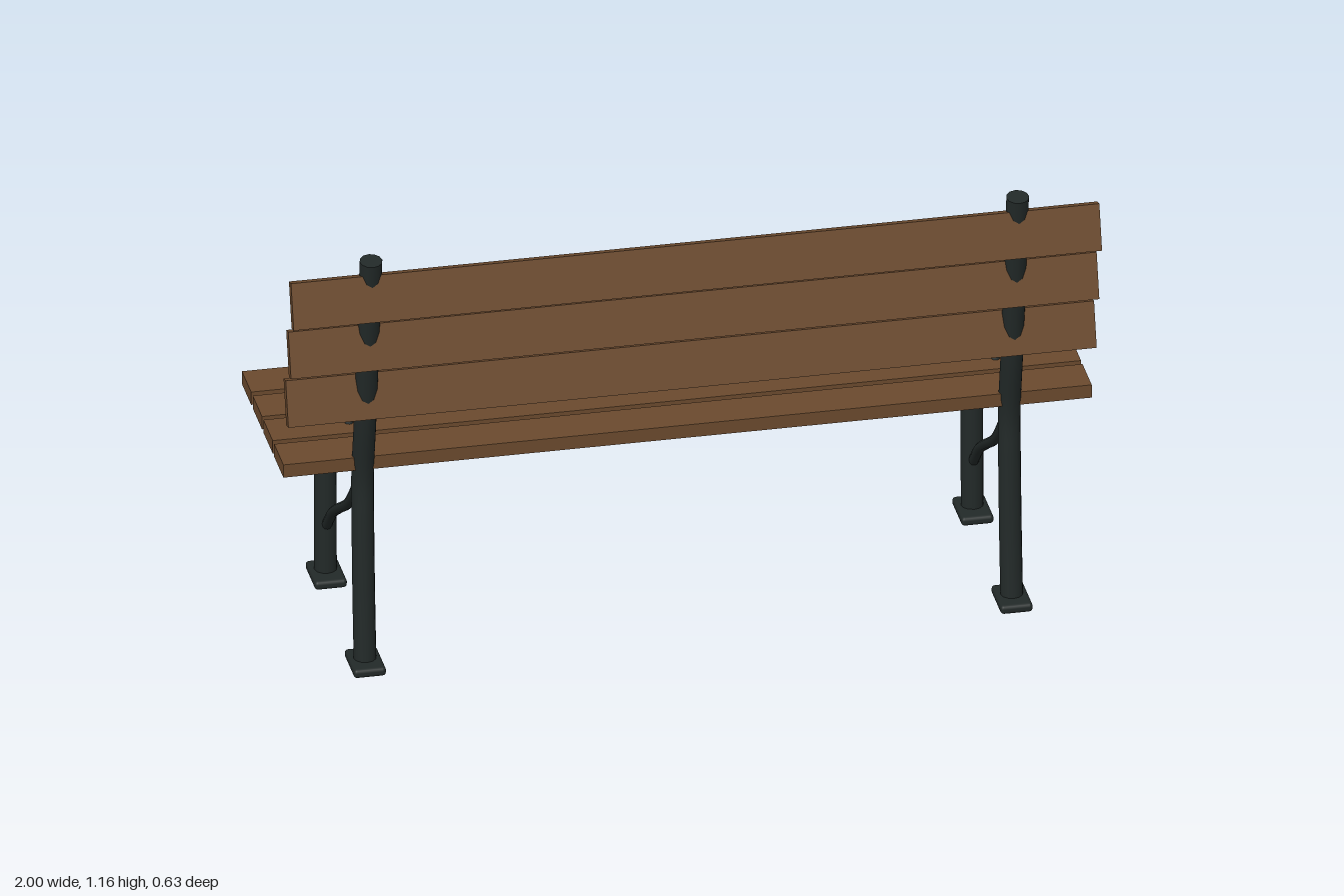
import * as THREE from 'three';
import { RoundedBoxGeometry } from 'three/addons/geometries/RoundedBoxGeometry.js';

export function createModel() {
  const bench = new THREE.Group();
  bench.name = 'parkBench';
  const wood = new THREE.MeshStandardMaterial({ color: 0x6b4a2e });
  const iron = new THREE.MeshStandardMaterial({ color: 0x222928 });

  const add = (parent, name, geometry, material, x = 0, y = 0, z = 0) => {
    const mesh = new THREE.Mesh(geometry, material);
    mesh.name = name;
    mesh.position.set(x, y, z);
    parent.add(mesh);
    return mesh;
  };

  // Capped pipe through [z, y] points in the plane of a side frame
  const pipe = (parent, name, points, radius, steps = 24, tension = 0.5) => {
    const group = new THREE.Group();
    group.name = name;
    parent.add(group);
    const curve = new THREE.CatmullRomCurve3(
      points.map(([z, y]) => new THREE.Vector3(0, y, z)), false, 'catmullrom', tension);
    add(group, name + 'Pipe', new THREE.TubeGeometry(curve, steps, radius, 12), iron);
    for (const t of [0, 1]) {
      const p = curve.getPoint(t);
      const cap = add(group, name + 'Cap', new THREE.CircleGeometry(radius, 12), iron, p.x, p.y, p.z);
      const outward = curve.getTangent(t).multiplyScalar(t ? 1 : -1);
      cap.quaternion.setFromUnitVectors(new THREE.Vector3(0, 0, 1), outward);
    }
    return group;
  };

  // Seat slats
  const seatZ = [-0.242, -0.114, 0.012, 0.139];
  for (const z of seatZ) {
    add(bench, 'seatSlat', new THREE.BoxGeometry(2, 0.035, 0.109), wood, 0, 0.557, z);
  }

  // Backrest slats, leaning across the posts
  for (const [z, y] of [[0.224, 0.76], [0.255, 0.91], [0.287, 1.06]]) {
    const slat = add(bench, 'backSlat', new THREE.BoxGeometry(2, 0.117, 0.026), wood, 0, y, z);
    slat.rotation.x = -0.275;
  }

  // Two matching iron side frames
  for (const x of [-0.8, 0.8]) {
    const frame = new THREE.Group();
    frame.name = x > 0 ? 'leftFrame' : 'rightFrame';
    frame.position.x = x;
    bench.add(frame);

    pipe(frame, 'backPost', [[0.204, 0.004], [0.187, 0.2], [0.176, 0.4], [0.174, 0.52],
      [0.203, 0.68], [0.232, 0.87], [0.273, 1.155]], 0.028, 32);
    pipe(frame, 'frontLeg', [[-0.264, 0.004], [-0.268, 0.27], [-0.272, 0.538]], 0.028, 8);
    pipe(frame, 'seatRail', [[0.17, 0.525], [0.06, 0.518], [-0.05, 0.514], [-0.16, 0.518], [-0.27, 0.525]], 0.024);
    pipe(frame, 'brace', [[0.16, 0.515], [0.08, 0.42], [0, 0.345], [-0.1, 0.28],
      [-0.18, 0.225], [-0.255, 0.15]], 0.013);
    pipe(frame, 'armrest', [[0.205, 0.76], [0.1, 0.788], [0, 0.808], [-0.1, 0.809], [-0.2, 0.8],
      [-0.257, 0.768], [-0.273, 0.72], [-0.25, 0.635]], 0.023, 32);

    // Flattened angular curl at the tip of the arm
    const curl = pipe(frame, 'armCurl', [[-0.252, 0.645], [-0.217, 0.605], [-0.185, 0.618],
      [-0.192, 0.652], [-0.222, 0.656]], 0.013, 16, 0.15);
    curl.scale.x = 1.9;

    // Foot plates
    for (const z of [0.207, -0.255]) {
      add(frame, 'footPlate', new RoundedBoxGeometry(0.08, 0.023, 0.12, 2, 0.009), iron, 0, 0.017, z);
    }

    // Bolts through the seat slats
    for (const z of seatZ) {
      add(frame, 'bolt', new THREE.CylinderGeometry(0.008, 0.011, 0.008, 10), iron, 0, 0.578, z);
    }
  }
  return bench;
}
